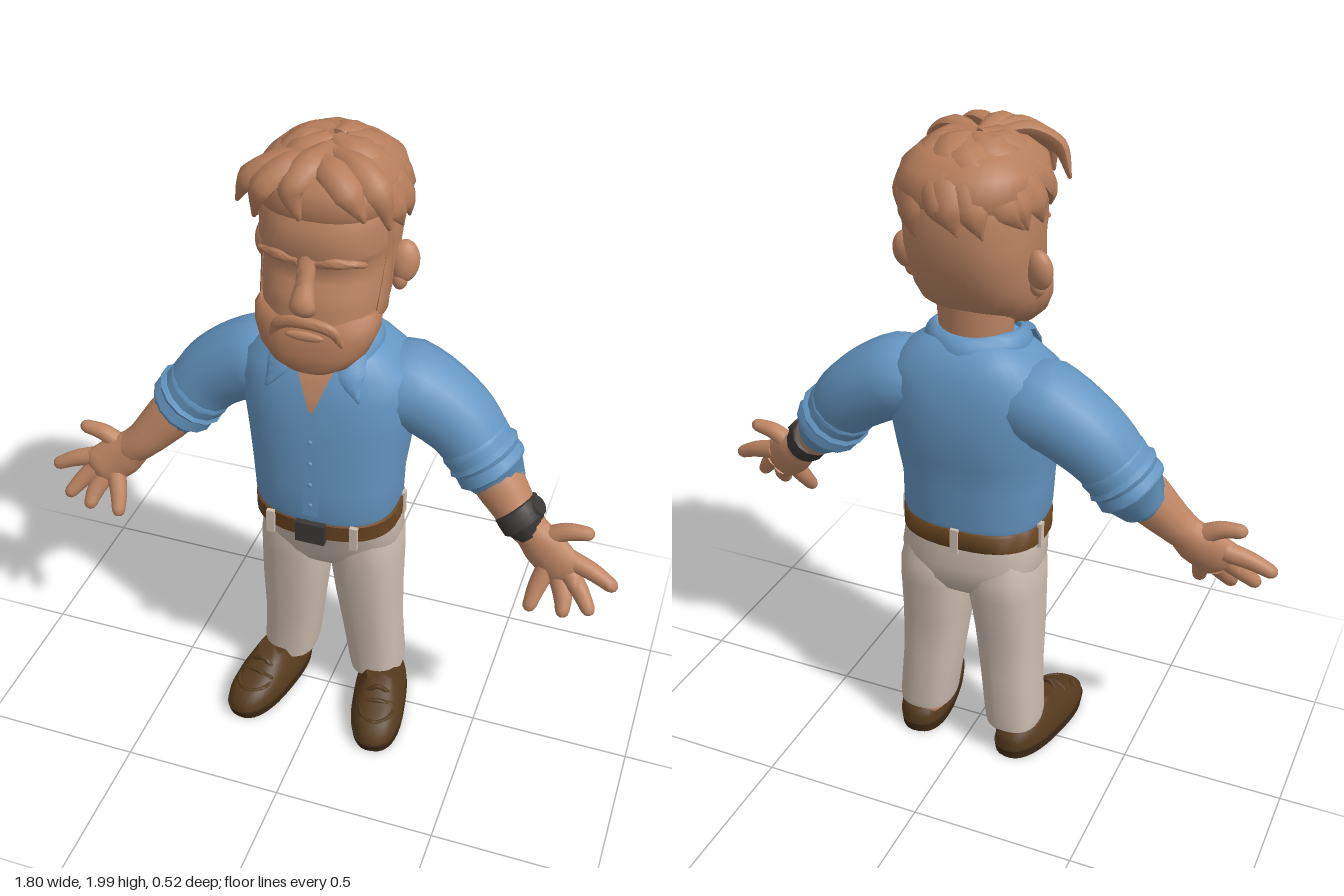
import * as THREE from 'three';
import { toCreasedNormals } from 'three/addons/utils/BufferGeometryUtils.js';

const V = (x, y, z) => new THREE.Vector3(x, y, z);
const paint = (name, color) => Object.assign(new THREE.MeshStandardMaterial({ color }), { name });
const mats = {
  skin: paint('skin', 0xbe8664), hair: paint('hair', 0xb67e5c), shirt: paint('shirt blue', 0x6596c2),
  pants: paint('trouser beige', 0xcdbdb0), shoe: paint('shoe brown', 0x553b1d), sole: paint('sole brown', 0x3d2a16),
  belt: paint('belt brown', 0x66431f), dark: paint('dark grey', 0x3a3835),
};

// Joins rings of points into a closed skin with capped ends
function skinRings(rings) {
  const n = rings[0].length, pos = [], idx = [];
  rings.forEach(r => r.forEach(p => pos.push(p.x, p.y, p.z)));
  for (let i = 0; i < rings.length - 1; i++) for (let j = 0; j < n; j++) {
    const a = i * n + j, b = i * n + (j + 1) % n;
    idx.push(a, b, b + n, a, b + n, a + n);
  }
  [0, rings.length - 1].forEach(k => {
    const c = rings[k].reduce((s, p) => s.add(p), V(0, 0, 0)).divideScalar(n), id = pos.length / 3;
    pos.push(c.x, c.y, c.z);
    for (let j = 0; j < n; j++) {
      const a = k * n + j, b = k * n + (j + 1) % n;
      idx.push(...(k ? [id, a, b] : [id, b, a]));
    }
  });
  return finish(pos, idx);
}
function finish(pos, idx) {
  const g = new THREE.BufferGeometry();
  g.setAttribute('position', new THREE.Float32BufferAttribute(pos, 3));
  g.setIndex(idx);
  return toCreasedNormals(g, 0.9);
}
// Stacked sections: [y, half width, front z, back z, centre x]
function stack(rows, pow = 2.5, n = 36) {
  const bend = v => Math.sign(v) * Math.abs(v) ** (2 / pow);
  return skinRings(rows.map(([y, hx, zf, zb, xc = 0]) => Array.from({ length: n }, (_, j) => {
    const a = j / n * Math.PI * 2;
    return V(xc + hx * bend(Math.sin(a)), y, (zf + zb) / 2 + (zf - zb) / 2 * bend(Math.cos(a)));
  })));
}
// Front surface depth of a stack at (x, y)
function frontZ(rows, x, y, pow = 2.5) {
  let i = 0;
  while (i < rows.length - 2 && rows[i + 1][0] < y) i++;
  const t = (y - rows[i][0]) / (rows[i + 1][0] - rows[i][0]);
  const [, hx, zf, zb] = rows[i].map((v, k) => v + (rows[i + 1][k] - v) * t);
  return (zf + zb) / 2 + (zf - zb) / 2 * Math.max(0, 1 - Math.abs(x / hx) ** pow) ** (1 / pow);
}
// Thin sheet lying on the front of a stack between two edges
function drape(rows, y0, y1, left, right, lift) {
  const pos = [], idx = [], nu = 6, nv = 12;
  for (let i = 0; i <= nv; i++) for (let j = 0; j <= nu; j++) {
    const t = i / nv, y = y0 + (y1 - y0) * t, x = left(t) + (right(t) - left(t)) * j / nu;
    pos.push(x, y, frontZ(rows, x, y) + lift);
    if (i < nv && j < nu) {
      const a = i * (nu + 1) + j, b = a + nu + 1;
      idx.push(a, a + 1, b + 1, a, b + 1, b);
    }
  }
  return finish(pos, idx);
}
// Swept limb: radii [across, along ref] at each control point, rounded at its end
function limb(points, radii, ref = () => V(0, 0, 1), n = 14, steps = 5) {
  const curve = new THREE.CatmullRomCurve3(points.map(p => V(...p))), last = radii.length - 1, rings = [];
  const ring = (t, scale, push) => {
    const f = Math.min(t * last, last - 1e-6), i = Math.floor(f), k = f - i;
    const [ru, rv] = radii[i].map((r, q) => (r + (radii[i + 1][q] - r) * k) * scale);
    const p = curve.getPoint(t), d = curve.getTangent(t);
    const u = d.clone().cross(ref(p)).normalize(), v = u.clone().cross(d);
    p.addScaledVector(d, push);
    rings.push(Array.from({ length: n }, (_, j) => {
      const a = j / n * Math.PI * 2;
      return p.clone().addScaledVector(u, ru * Math.sin(a)).addScaledVector(v, rv * Math.cos(a));
    }));
  };
  for (let i = 0; i <= last * steps; i++) ring(i / (last * steps), 1, 0);
  const r = Math.min(...radii[last]);
  ring(1, 0.75, r * 0.6);
  ring(1, 0.35, r * 0.9);
  return skinRings(rings);
}

export function createModel() {
  const model = new THREE.Group();
  const add = (name, geo, mat, parent = model) => {
    const m = new THREE.Mesh(geo, mats[mat]);
    m.name = name;
    parent.add(m);
    return m;
  };
  const ball = (name, mat, p, s, parent) => {
    const m = add(name, new THREE.SphereGeometry(1, 20, 14), mat, parent);
    m.position.set(...p);
    m.scale.set(...s);
    return m;
  };

  // Trousers top, belt and shirt body
  add('hips', stack([[.57, .05, .03, -.12], [.6, .14, .07, -.165], [.64, .2, .092, -.186], [.7, .222, .112, -.196], [.78, .215, .145, -.188]]), 'pants');
  const beltRows = [[.765, .215, .15, -.188], [.77, .222, .158, -.194], [.825, .222, .162, -.194], [.83, .216, .155, -.19]];
  add('belt', stack(beltRows), 'belt');
  const torso = [[.82, .212, .155, -.185], [.85, .221, .163, -.193], [.95, .226, .164, -.185], [1.05, .238, .162, -.205], [1.15, .252, .158, -.217],
    [1.25, .262, .146, -.212], [1.32, .245, .126, -.197], [1.37, .18, .1, -.175], [1.41, .115, .065, -.14]];
  add('shirtBody', stack(torso), 'shirt');
  add('openNeck', drape(torso, 1.22, 1.4, t => -.004 - .07 * t, t => .004 + .07 * t, .005), 'skin');
  add('placket', drape(torso, .86, 1.22, () => -.025, () => .025, .006), 'shirt');
  for (let y = .9; y < 1.2; y += .075) ball('button', 'shirt', [0, y, frontZ(torso, 0, y) + .005], [.008, .008, .005]);
  add('buckle', new THREE.BoxGeometry(.09, .07, .025), 'dark').position.set(0, .797, .165);
  for (const [x, z, turn] of [[-.13, .155, 0], [.13, .155, 0], [0, -.194, 0], [-.218, -.06, 1], [.218, -.06, 1]]) {
    const loop = add('beltLoop', new THREE.BoxGeometry(.024, .08, .014), 'pants');
    loop.position.set(x, .797, z);
    loop.rotation.y = turn * Math.PI / 2;
  }

  // Collar running round the neck
  add('collarBand', limb([[-.08, 1.375, .1], [-.125, 1.385, .04], [-.125, 1.4, -.06], [0, 1.395, -.14], [.125, 1.4, -.06], [.125, 1.385, .04], [.08, 1.375, .1]],
    [[.03, .014], [.035, .016], [.035, .018], [.035, .018], [.035, .018], [.035, .016], [.03, .014]], p => V(p.x, .06, p.z + .04).normalize()), 'shirt');

  // Neck and head, with hollowed eye area
  add('neck', stack([[1.3, .1, .06, -.12], [1.42, .108, .06, -.125], [1.52, .115, .06, -.13]], 2), 'skin');
  const head = [[1.39, .08, .18, .08], [1.42, .12, .19, .04], [1.46, .148, .193, -.06], [1.52, .165, .186, -.15], [1.57, .172, .184, -.19], [1.61, .175, .18, -.21],
    [1.645, .177, .163, -.225], [1.69, .18, .157, -.238], [1.715, .182, .175, -.242], [1.73, .183, .184, -.244], [1.8, .184, .175, -.248], [1.88, .178, .15, -.23], [1.94, .13, .09, -.17], [1.955, .05, 0, -.1]];
  add('head', stack(head), 'skin');
  add('nose', limb([[0, 1.735, .168], [0, 1.66, .19], [0, 1.605, .213], [0, 1.583, .2]], [[.026, .015], [.025, .022], [.037, .026], [.034, .02]]), 'skin');
  add('beard', stack([[1.38, .07, .192, .09], [1.4, .112, .202, .06], [1.44, .152, .205, .015], [1.49, .173, .2, -.015], [1.53, .176, .188, -.02], [1.548, .166, .17, -.02]]), 'hair');
  add('moustache', limb([[-.1, 1.48, .183], [-.075, 1.525, .19], [0, 1.545, .199], [.075, 1.525, .19], [.1, 1.48, .183]],
    [[.008, .006], [.018, .012], [.018, .014], [.018, .012], [.008, .006]]), 'hair');
  ball('lowerLip', 'skin', [0, 1.503, .199], [.055, .014, .01]);

  // Hair cap, swept locks and fringe
  add('hairCap', stack([[1.825, .182, .165, -.245], [1.86, .196, .175, -.252], [1.91, .185, .16, -.23], [1.95, .14, .11, -.18], [1.972, .05, .02, -.1]]), 'hair');
  const outward = p => V(p.x, (p.y - 1.78) * 1.2, p.z + .04).normalize();
  const lock = (a, e0, e1, swirl, w) => {
    const pts = [0, .35, .7, 1].map(t => {
      const e = e0 + (e1 - e0) * t, b = a + swirl * t;
      return [.205 * Math.cos(e) * Math.sin(b), 1.79 + .187 * Math.sin(e), -.04 + .213 * Math.cos(e) * Math.cos(b)];
    });
    add('hairLock', limb(pts, [[w * .4, .01], [w, .022], [w * .9, .02], [w * .1, .005]], outward, 8, 4), 'hair');
  };
  for (let k = 0; k < 14; k++) lock(.75 + k * .32, .95, .05 - .14 * (k * 7 % 4) / 3 - .22 * Math.max(0, Math.sin(k * .24)) * (k % 3 / 2), k % 3 ? .35 : .6, .044 + .008 * (k % 2));
  for (let k = 0; k < 7; k++) lock(.9 + k * .72, 1.5 - .1 * (k % 2), .45 + .15 * (k % 3), .9, .055);
  [[[-.01, 1.955, .04], [-.09, 1.955, .11], [-.17, 1.91, .14], [-.21, 1.835, .12]],
    [[.02, 1.96, .04], [-.06, 1.96, .13], [-.12, 1.91, .18], [-.14, 1.83, .18]],
    [[.0, 1.965, .0], [-.01, 1.968, .12], [-.04, 1.92, .178], [-.015, 1.845, .19]],
    [[-.03, 1.96, .06], [.05, 1.96, .13], [.11, 1.92, .165], [.15, 1.855, .165]],
    [[.02, 1.96, .02], [.11, 1.955, .08], [.175, 1.905, .11], [.198, 1.81, .1]],
  ].forEach(p => add('fringeLock', limb(p, [[.02, .012], [.042, .025], [.04, .024], [.008, .006]], outward, 8), 'hair'));

  for (const s of [-1, 1]) {
    const side = new THREE.Group();
    side.name = s > 0 ? 'leftSide' : 'rightSide';
    model.add(side);
    const put = (name, pts, radii, mat, ref) => add(name, limb(pts.map(([x, y, z]) => [s * x, y, z]), radii, ref), mat, side);

    // Face side: ear, brow, sideburn
    ball('ear', 'skin', [s * .196, 1.63, -.058], [.042, .06, .032], side).rotation.set(-.2, s * .3, 0);
    ball('earLobe', 'skin', [s * .188, 1.578, -.045], [.022, .03, .022], side);
    put('brow', [[.025, 1.715, .172], [.08, 1.722, .17], [.145, 1.712, .135]], [[.014, .012], [.016, .014], [.008, .008]], 'hair');
    put('sideburn', [[.174, 1.8, .02], [.172, 1.68, .015], [.164, 1.53, .04]], [[.01, .03], [.012, .026], [.013, .05]], 'hair');

    // Collar flap narrowing to a point
    put('collarFlap', [[.1, 1.395, .088], [.108, 1.345, .122], [.135, 1.283, .142]], [[.04, .012], [.038, .012], [.006, .006]], 'shirt', () => V(s * .35, .35, 1).normalize());

    // Sleeve and rolled cuff
    put('sleeve', [[.1, 1.235, -.045], [.22, 1.235, -.06], [.37, 1.15, -.06], [.45, 1.06, -.045]], [[.09, .13], [.128, .138], [.114, .118], [.1, .106]], 'shirt');
    put('cuff', [[.41, 1.105, -.052], [.425, 1.087, -.05], [.455, 1.05, -.046], [.485, 1.012, -.042], [.492, 1.003, -.041]],
      [[.098, .104], [.108, .114], [.103, .11], [.108, .114], [.094, .1]], 'shirt');
    put('cuffFold', [[.443, 1.066, -.048], [.456, 1.05, -.046], [.468, 1.034, -.044]], [[.1, .106], [.114, .12], [.1, .106]], 'shirt');

    // Forearm, hand and digits
    put('forearm', [[.45, 1.055, -.035], [.53, .965, -.01], [.6, .888, .018], [.65, .845, .03]], [[.078, .08], [.074, .072], [.058, .058], [.054, .044]], 'skin');
    put('palm', [[.615, .875, .022], [.67, .825, .035], [.735, .775, .06]], [[.052, .046], [.07, .044], [.07, .034]], 'skin');
    [['thumb', [.665, .85, .03], [.73, .89, .03], [.79, .9, .03]],
      ['indexFinger', [.745, .81, .05], [.82, .79, .06], [.88, .762, .07]],
      ['middleFinger', [.75, .775, .06], [.795, .73, .085], [.828, .69, .11]],
      ['ringFinger', [.725, .75, .06], [.75, .7, .095], [.757, .67, .12]],
      ['littleFinger', [.69, .77, .055], [.67, .71, .09], [.66, .665, .12]],
    ].forEach(([name, ...p]) => put(name, p, [[.032, .03], [.027, .026], [.021, .021]], 'skin'));
    if (s > 0) {
      put('watchStrap', [[.57, .928, .008], [.573, .925, .009], [.59, .905, .015], [.606, .885, .02], [.609, .882, .021]],
        [[.062, .066], [.068, .077], [.068, .078], [.067, .076], [.06, .064]], 'dark');
      const dial = add('watchCase', new THREE.CylinderGeometry(.028, .034, .016, 18), 'dark', side);
      dial.position.set(.637, .948, .012);
      dial.rotation.z = -.85;
    }

    // Trouser leg
    add('trouserLeg', stack([[.105, .083, .03, -.163, s * .15], [.13, .087, .032, -.166, s * .148], [.3, .093, .045, -.157, s * .132], [.45, .102, .07, -.163, s * .122],
      [.6, .111, .085, -.185, s * .112], [.66, .108, .092, -.188, s * .112], [.72, .1, .09, -.17, s * .108]]), 'pants', side);

    // Shoe, turned outward
    const foot = new THREE.Group();
    foot.name = 'foot';
    foot.position.x = s * .182;
    foot.rotation.y = s * .19;
    side.add(foot);
    add('sole', stack([[0, .084, .248, -.162], [.03, .087, .257, -.167]]), 'sole', foot);
    add('shoeUpper', stack([[.028, .083, .25, -.162], [.055, .084, .247, -.162], [.08, .076, .215, -.155], [.1, .066, .155, -.12], [.122, .055, .1, -.07], [.138, .045, .075, -.02]]), 'shoe', foot);
    add('ankle', stack([[.07, .058, .03, -.145, -s * .02], [.16, .06, .02, -.15, -s * .02]], 2), 'skin', foot);
    for (const z of [.09, .125]) add('lace', limb([[-.05, .095, z], [0, .21 - z * .8, z + .005], [.05, .095, z]], [[.008, .008], [.008, .008], [.008, .008]], () => V(0, 0, 1), 8), 'shoe', foot);
    add('toeSeam', limb([[-.055, .086, .12], [-.045, .084, .17], [0, .082, .2], [.045, .084, .17], [.055, .086, .12]],
      Array(5).fill([.007, .007]), () => V(0, 1, 0), 8), 'shoe', foot);
  }
  return model;
}
